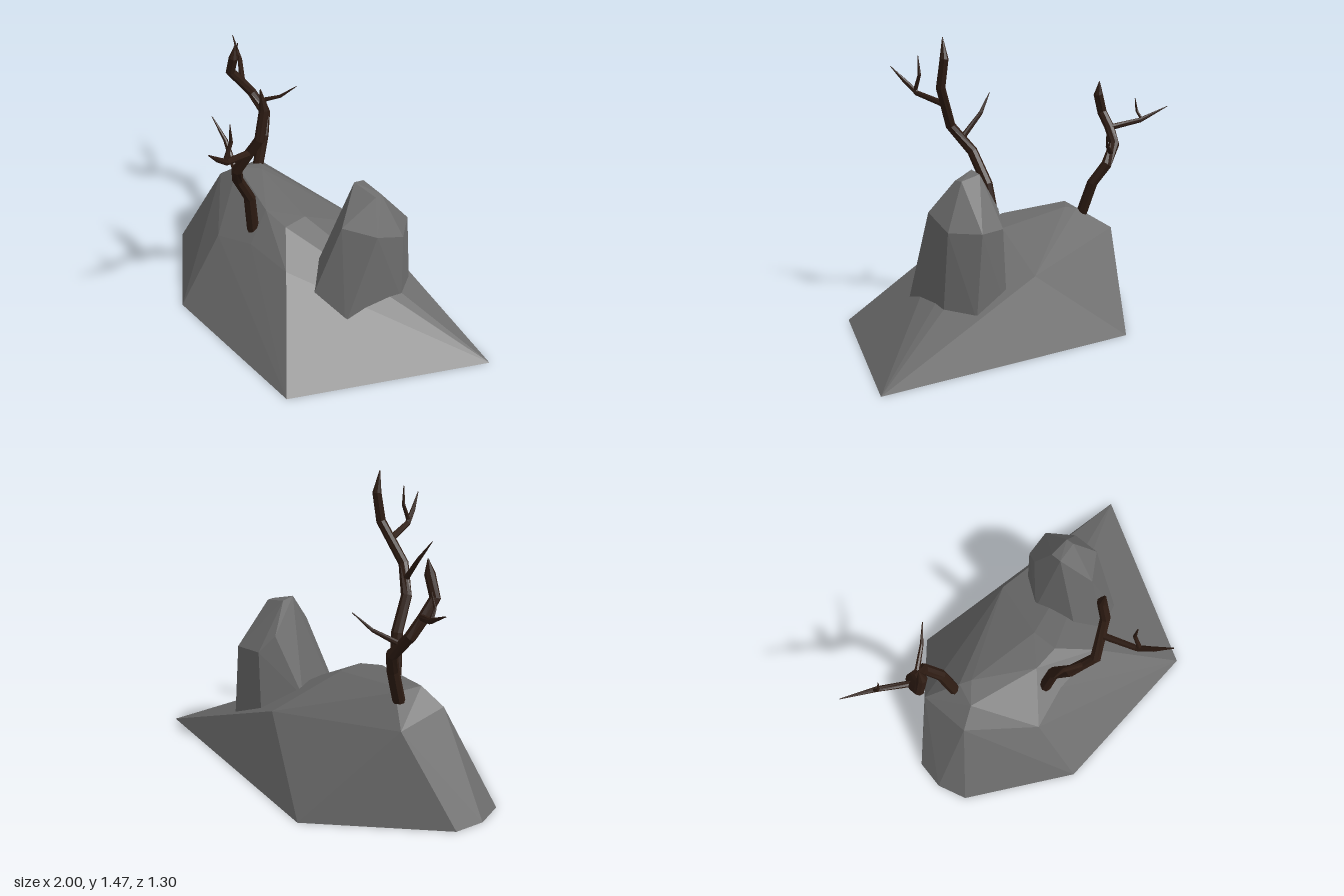
import * as THREE from 'three';
import { ConvexGeometry } from 'three/addons/geometries/ConvexGeometry.js';

const stone = new THREE.MeshStandardMaterial({ color: 0x6b6b6b, flatShading: true });
const bark = new THREE.MeshStandardMaterial({ color: 0x2e1c13, flatShading: true });
const vec = (p) => new THREE.Vector3(...p);

// Faceted stone wrapped around its corner points
function boulder(name, corners) {
  const mesh = new THREE.Mesh(new ConvexGeometry(corners.map(vec)), stone);
  mesh.name = name;
  return mesh;
}

// Crooked limb: rings along a path, thinning to a point
function limb(name, path, r0, r1, sides = 8) {
  const pts = path.map(vec), n = pts.length;
  const pos = [], index = [];
  const ring = (c, t, r) => {
    const ref = Math.abs(t.x) > 0.9 ? new THREE.Vector3(0, 0, 1) : new THREE.Vector3(1, 0, 0);
    const v = t.clone().cross(ref).normalize();
    const u = v.clone().cross(t);
    for (let j = 0; j < sides; j++) {
      const a = (j / sides) * Math.PI * 2;
      const p = c.clone().addScaledVector(u, Math.cos(a) * r).addScaledVector(v, Math.sin(a) * r);
      pos.push(p.x, p.y, p.z);
    }
  };
  const dir = (i) => pts[Math.min(i + 1, n - 1)].clone().sub(pts[Math.max(i - 1, 0)]).normalize();
  ring(pts[0], dir(0), 0.001);
  for (let i = 0; i < n; i++) {
    const r = i === n - 1 ? 0.002 : r0 + (r1 - r0) * (i / Math.max(n - 2, 1));
    ring(pts[i], dir(i), r);
  }
  for (let i = 0; i < n; i++) {
    for (let j = 0; j < sides; j++) {
      const a = i * sides + j, b = i * sides + ((j + 1) % sides);
      index.push(a, b, a + sides, b, b + sides, a + sides);
    }
  }
  const geo = new THREE.BufferGeometry();
  geo.setAttribute('position', new THREE.Float32BufferAttribute(pos, 3));
  geo.setIndex(index);
  geo.computeVertexNormals();
  const mesh = new THREE.Mesh(geo, bark);
  mesh.name = name;
  return mesh;
}

function tree(name, limbs) {
  const g = new THREE.Group();
  g.name = name;
  limbs.forEach((l) => g.add(limb(...l)));
  return g;
}

export function createModel() {
  const model = new THREE.Group();
  model.name = 'rockyMoundWithDeadTrees';

  // Broad mound: flat footprint, then shoulders and crest
  model.add(boulder('mound', [
    [-0.34, 0, -0.65], [1, 0, -0.27], [0.39, 0, 0.6], [-0.49, 0, 0.49],
    [-0.94, 0, 0.08], [-0.97, 0, -0.08], [-0.93, 0, -0.23],
    [-0.71, 0.49, -0.05], [-0.68, 0.45, -0.33], [-0.6, 0.575, -0.08],
    [-0.49, 0.57, -0.16], [-0.54, 0.56, -0.2], [-0.24, 0.545, 0.07],
    [-0.09, 0.515, 0.08], [-0.08, 0.51, -0.06], [0.06, 0.4, 0.24],
    [0.08, 0.35, -0.39], [-0.45, 0.355, 0.23], [-0.22, 0.41, 0.21],
  ]));

  // Upright stone half sunk in the slope
  model.add(boulder('standingStone', [
    [0.39, 0.18, 0.16], [0.495, 0.2, -0.17], [0.43, 0.2, -0.32], [0.22, 0.2, -0.33],
    [0.08, 0.36, -0.17], [0.11, 0.36, 0.07], [0.2, 0.27, 0.21],
    [0.27, 0.69, 0.06], [0.43, 0.67, -0.02], [0.47, 0.6, -0.18],
    [0.39, 0.6, -0.32], [0.24, 0.6, -0.32], [0.19, 0.68, -0.25],
    [0.21, 0.855, -0.1], [0.34, 0.82, -0.11], [0.34, 0.82, -0.15], [0.22, 0.84, -0.16],
  ]));

  // Taller tree on the front slope
  model.add(tree('frontTree', [
    ['trunk', [[-0.27, 0.43, 0.14], [-0.245, 0.69, 0.18], [-0.23, 0.86, 0.27], [-0.145, 1, 0.35],
      [-0.025, 1.21, 0.31], [-0.02, 1.36, 0.28], [-0.025, 1.47, 0.295]], 0.032, 0.023],
    ['forwardBranch', [[-0.075, 1.12, 0.33], [-0.05, 1.17, 0.5], [-0.03, 1.23, 0.57], [0, 1.31, 0.65]], 0.018, 0.012],
    ['forwardTwig', [[-0.045, 1.19, 0.51], [-0.04, 1.27, 0.475], [-0.035, 1.37, 0.48]], 0.011, 0.009],
    ['sideBranch', [[-0.19, 0.93, 0.31], [-0.3, 1.06, 0.27], [-0.38, 1.165, 0.275]], 0.016, 0.011],
  ]));

  // Smaller tree on the crest
  model.add(tree('crestTree', [
    ['trunk', [[-0.57, 0.5, -0.2], [-0.58, 0.7, -0.27], [-0.62, 0.8, -0.33], [-0.71, 0.9, -0.32],
      [-0.74, 0.98, -0.27], [-0.755, 1.06, -0.21], [-0.72, 1.16, -0.205], [-0.715, 1.23, -0.215]], 0.03, 0.025],
    ['backBranch', [[-0.74, 0.985, -0.28], [-0.86, 1.02, -0.385], [-1, 1.09, -0.47]], 0.016, 0.013],
    ['backTwig', [[-0.87, 1.025, -0.39], [-0.865, 1.07, -0.36], [-0.845, 1.14, -0.36]], 0.009, 0.007],
    ['sideBranch', [[-0.66, 0.86, -0.33], [-0.55, 0.91, -0.38], [-0.47, 0.985, -0.425]], 0.014, 0.009],
  ]));

  return model;
}
